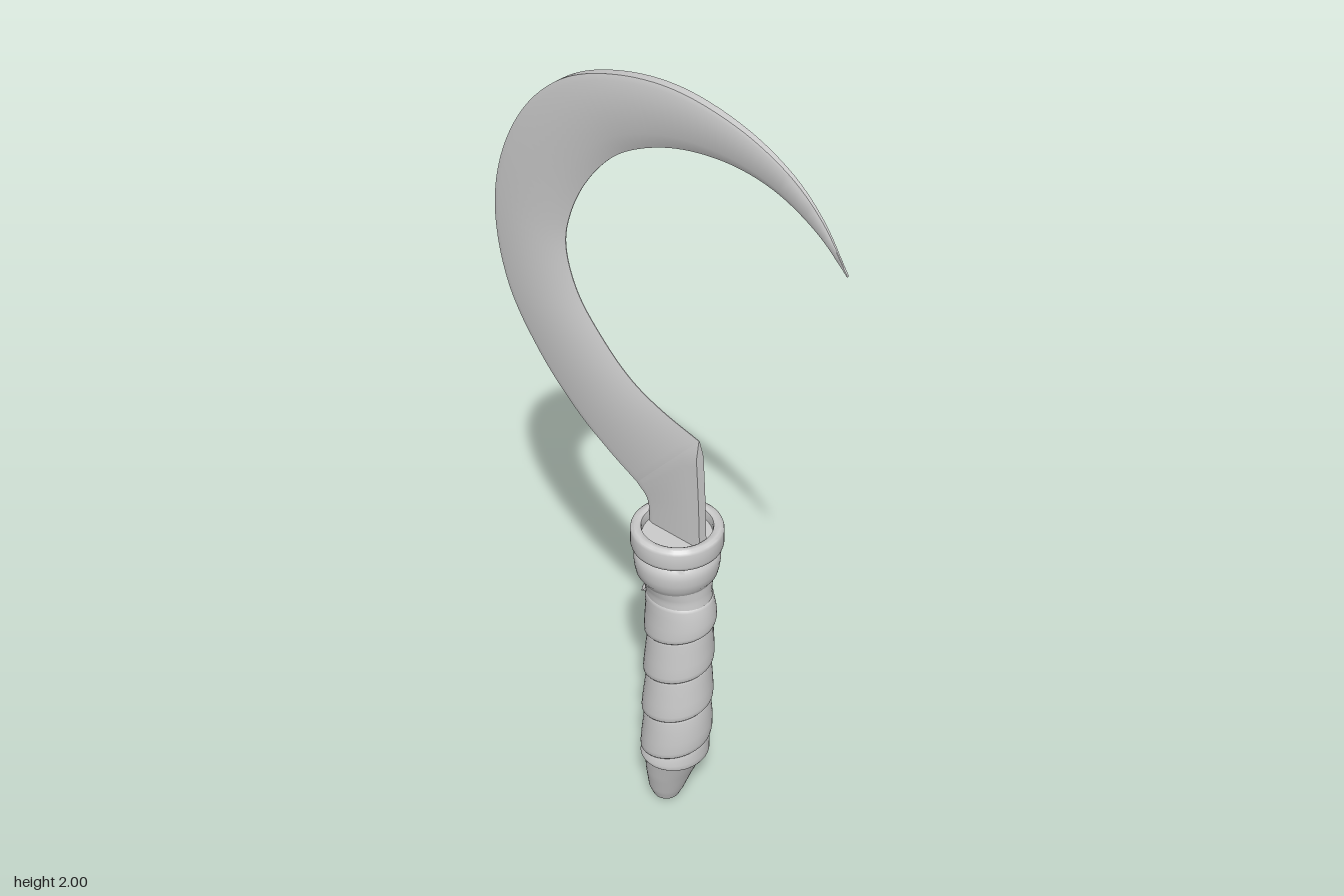
import * as THREE from 'three';
import { mergeVertices, toCreasedNormals } from 'three/addons/utils/BufferGeometryUtils.js';

const { lerp, smoothstep, clamp } = THREE.MathUtils;
const material = new THREE.MeshStandardMaterial({ color: 0xcccccc });
const TURN = Math.PI * 2;

// Quad grid over fn(u, v) -> [x, y, z]; outside is du x dv
function grid(nu, nv, fn) {
  const pos = [], index = [];
  for (let i = 0; i <= nu; i++)
    for (let j = 0; j <= nv; j++) pos.push(...fn(i / nu, j / nv));
  for (let i = 0; i < nu; i++)
    for (let j = 0; j < nv; j++) {
      const a = i * (nv + 1) + j, b = a + nv + 1;
      index.push(a, b, b + 1, a, b + 1, a + 1);
    }
  let geo = new THREE.BufferGeometry();
  geo.setAttribute('position', new THREE.Float32BufferAttribute(pos, 3));
  geo.setIndex(index);
  geo = mergeVertices(geo, 1e-5);
  geo.computeVertexNormals();
  return geo;
}

function add(group, name, geo, mat = material) {
  const mesh = new THREE.Mesh(geo, mat);
  mesh.name = name;
  group.add(mesh);
  return mesh;
}

const spline = pts => new THREE.CatmullRomCurve3(
  pts.map(([x, y, z = 0]) => new THREE.Vector3(x, y, z)), false, 'catmullrom');

// Blade body lofted between a back edge and a cutting edge
function bladeLoft(outerPts, innerPts, steps, half, edge) {
  const outer = spline(outerPts), inner = spline(innerPts);
  return grid(steps, 8, (u, v) => {
    const o = outer.getPoint(u), n = inner.getPoint(u);
    const h = half(u), e = edge(u);
    const loop = [[0, e], [0.22, h], [0.92, h], [1, 0.7 * h],
      [1, -0.7 * h], [0.92, -h], [0.22, -h], [0, -e], [0, e]];
    const [t, z] = loop[Math.round(v * 8)];
    return [lerp(n.x, o.x, t), lerp(n.y, o.y, t), z];
  });
}

// Handle core: [y, centre x, radius in x, radius in z]
const CORE = [
  [0.003, 0.015, 0, 0], [0.006, 0.015, 0.018, 0.018], [0.018, 0.015, 0.034, 0.034],
  [0.045, 0.016, 0.045, 0.045], [0.11, 0.027, 0.058, 0.062], [0.19, 0.043, 0.075, 0.078],
  [0.3, 0.05, 0.08, 0.078], [0.45, 0.053, 0.078, 0.073], [0.58, 0.056, 0.079, 0.07],
  [0.66, 0.058, 0.083, 0.071], [0.72, 0.051, 0.083, 0.075], [0.75, 0.047, 0.086, 0.084],
  [0.77, 0.047, 0.088, 0.088]];

function coreAt(y) {
  let k = 0;
  while (k < CORE.length - 2 && y > CORE[k + 1][0]) k++;
  const a = CORE[k], b = CORE[k + 1];
  const t = clamp((y - a[0]) / (b[0] - a[0]), 0, 1);
  return a.map((value, i) => lerp(value, b[i], t));
}

// Point on the handle at angle phi, raised by lift (phi runs -x, +z, +x, -z)
function onHandle(phi, y, lift = 0) {
  const [, cx, rx, rz] = coreAt(y);
  return [cx - Math.cos(phi) * (rx + lift), y, Math.sin(phi) * (rz + lift)];
}

export function createModel() {
  const model = new THREE.Group();
  model.name = 'sickle';

  // Curved blade, from heel to tip
  const blade = new THREE.Group();
  blade.name = 'blade';
  model.add(blade);
  const back = [[-0.07, 0.96], [-0.16, 1.01], [-0.26, 1.08], [-0.37, 1.19], [-0.46, 1.33],
    [-0.495, 1.5], [-0.47, 1.66], [-0.39, 1.81], [-0.27, 1.92], [-0.12, 1.98], [0.04, 2],
    [0.2, 1.975], [0.33, 1.92], [0.42, 1.845], [0.49, 1.745]];
  const cutting = [[0.11, 1.16], [0, 1.19], [-0.09, 1.23], [-0.17, 1.295], [-0.25, 1.39],
    [-0.285, 1.5], [-0.265, 1.6], [-0.21, 1.7], [-0.13, 1.785], [-0.03, 1.84], [0.08, 1.872],
    [0.2, 1.88], [0.31, 1.86], [0.41, 1.81], [0.488, 1.743]];
  const bladeHalf = u => lerp(0.012, 0.017, smoothstep(u, 0, 0.25)) * lerp(1, 0.1, smoothstep(u, 0.6, 1.05));
  add(blade, 'curvedBlade', toCreasedNormals(
    bladeLoft(back, cutting, 84, bladeHalf, () => 0.001), 0.6));

  // Blunt tang between the heel and the collar
  add(blade, 'tang', toCreasedNormals(bladeLoft(
    [[-0.03, 0.85], [-0.037, 0.925], [-0.07, 0.96]],
    [[0.126, 0.85], [0.12, 1.0], [0.11, 1.16]], 16,
    () => 0.012, u => lerp(0.012, 0.001, clamp((u - 0.86) / 0.14, 0, 1))), 0.6));

  // Grip core, bending slightly toward the butt
  const coreCurve = spline(CORE.map(([y, cx, rx]) => [cx, y, rx]));
  const grip = new THREE.Group();
  grip.name = 'grip';
  model.add(grip);
  add(grip, 'gripCore', grid(40, 72, (u, v) => {
    const y = Math.max(CORE[0][0], coreCurve.getPoint(v).y);
    return onHandle(u * TURN, y);
  }));

  // Spiral wrapping: each turn overlaps the one below
  const pitch = 0.125, bottom = 0.18, top = 0.7;
  const profile = [[0, -0.003], [0.01, 0.005], [0.05, 0.0085], [0.15, 0.0095],
    [0.4, 0.008], [0.7, 0.005], [0.93, 0.003], [1.0, 0.001], [1.04, -0.003]];
  add(grip, 'gripWrap', grid(210, 8, (u, v) => {
    const turns = lerp(-0.97, 4.12, u);
    const start = bottom + pitch * turns;
    const low = Math.max(start, bottom);
    const high = Math.min(start + pitch, top);
    const [t, lift] = profile[Math.round(v * 8)];
    return onHandle(turns * TURN, lerp(low, high, t), lift);
  }), new THREE.MeshStandardMaterial({ color: 0xcccccc, side: THREE.DoubleSide }));

  // Turned rings at the top of the handle
  const turned = (name, pts) => {
    const geo = new THREE.LatheGeometry(pts.map(p => new THREE.Vector2(...p)), 48);
    add(model, name, toCreasedNormals(geo, 0.7)).position.x = 0.047;
  };
  turned('shoulderRing', [[0.08, 0.74], [0.087, 0.752], [0.096, 0.766], [0.1, 0.785],
    [0.102, 0.805], [0.1, 0.822], [0.094, 0.831], [0.086, 0.833], [0.086, 0.842]]);
  turned('collar', [[0, 0.838], [0.102, 0.838], [0.107, 0.842], [0.109, 0.85], [0.109, 0.884],
    [0.107, 0.891], [0.101, 0.896], [0.09, 0.896], [0.084, 0.892], [0.082, 0.885],
    [0.082, 0.868], [0, 0.868]]);

  return model;
}
